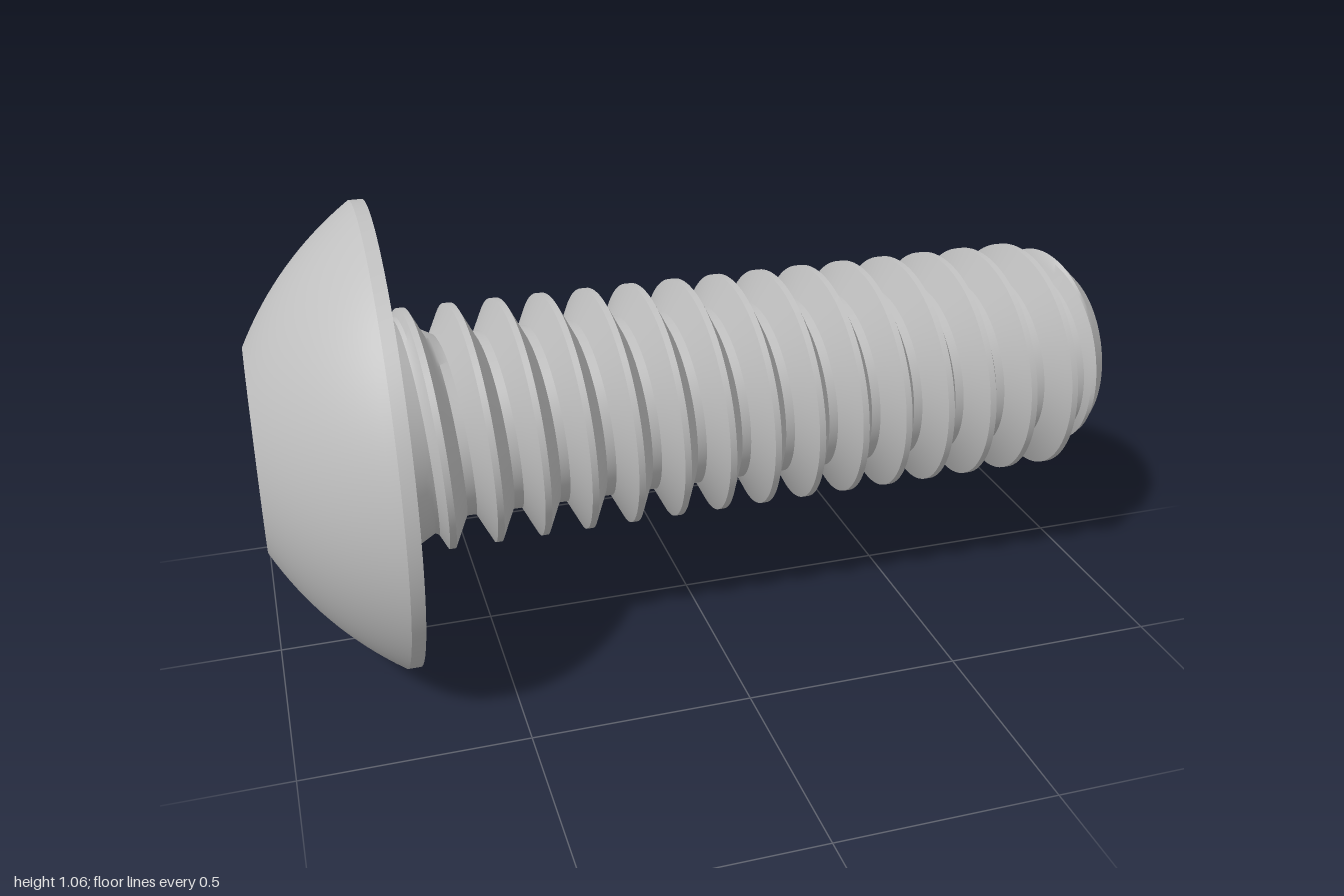
import * as THREE from 'three';
import { toCreasedNormals } from 'three/addons/utils/BufferGeometryUtils.js';

const AXIS_Y = 0.53;      // height of the screw axis
const HEAD_X = -1;        // face of the head
const SEAT_X = -0.705;    // underside of the head
const TIP_X = 1;
const MAJOR = 0.28, MINOR = 0.21, PITCH = 0.107, TIP_R = 0.2;
const HEX_APOTHEM = 0.16, HEX_CORNER = HEX_APOTHEM / Math.cos(Math.PI / 6);

// Surface wound around the x axis: f(angle, row) returns [x, radius]
function wound(segments, rows, f, crease) {
  const at = (i, j) => {
    const a = (i / segments) * Math.PI * 2;
    const [x, r] = f(a, j);
    const w = ((i % segments) / segments) * Math.PI * 2;
    return new THREE.Vector3(x, r * Math.cos(w), r * Math.sin(w));
  };
  const pos = [];
  const tri = (a, b, c) => {
    const area = b.clone().sub(a).cross(c.clone().sub(a)).length();
    if (area > 1e-8) pos.push(...a.toArray(), ...b.toArray(), ...c.toArray());
  };
  for (let j = 0; j < rows - 1; j++) {
    for (let i = 0; i < segments; i++) {
      const a = at(i, j), b = at(i + 1, j), c = at(i + 1, j + 1), d = at(i, j + 1);
      tri(a, b, d);
      tri(b, c, d);
    }
  }
  const g = new THREE.BufferGeometry();
  g.setAttribute('position', new THREE.Float32BufferAttribute(pos, 3));
  return toCreasedNormals(g, crease);
}

// Domed head with rim and flat underside
function headGeometry() {
  const dome = new THREE.QuadraticBezierCurve(
    new THREE.Vector2(0.23, HEAD_X), new THREE.Vector2(0.413, -0.905), new THREE.Vector2(0.53, -0.735));
  const profile = [
    new THREE.Vector2(HEX_CORNER, HEAD_X),
    ...dome.getPoints(16),
    new THREE.Vector2(0.53, SEAT_X),
    new THREE.Vector2(0.2, SEAT_X),
  ];
  const g = new THREE.LatheGeometry(profile, 96);
  g.rotateZ(-Math.PI / 2);
  return toCreasedNormals(g, 0.45);
}

// Hexagonal recess: floor, walls, then a countersink that scallops the walls
function socketGeometry() {
  const sector = Math.PI / 3;
  return wound(72, 4, (a, j) => {
    const hex = HEX_APOTHEM / Math.cos((a % sector) - sector / 2);
    return [
      [-0.83, 0],
      [-0.83, hex],
      [HEAD_X + (HEX_CORNER - hex) * 0.7, hex],
      [HEAD_X, HEX_CORNER],
    ][j];
  }, 0.4);
}

// Right-hand thread with a conical run-out under the head and a chamfered tip
function threadGeometry() {
  const crest = 0.07, root = 0.4;
  const steps = [];
  for (let k = 0; k <= 4; k++) steps.push(crest + ((root - crest) * k) / 4);
  const phases = [...steps, ...steps.map((s) => 1 - s).reverse()];
  const rows = [];
  for (let turn = -8; turn <= 10; turn++) for (const p of phases) rows.push(turn + p);

  const radius = (x, a) => {
    const t = x / PITCH - a / (Math.PI * 2);
    const u = Math.abs(t - Math.round(t));
    const k = THREE.MathUtils.clamp((u - crest) / (root - crest), 0, 1);
    const ridge = MAJOR + (MINOR - MAJOR) * k;
    const runOut = MAJOR - 0.55 * (x - SEAT_X);
    return Math.min(Math.max(ridge, runOut), TIP_R + (TIP_X - x));
  };
  return wound(96, rows.length, (a, j) => {
    const x = THREE.MathUtils.clamp((rows[j] + a / (Math.PI * 2)) * PITCH, SEAT_X, TIP_X);
    return [x, radius(x, a)];
  }, 0.5);
}

export function createModel() {
  const steel = new THREE.MeshStandardMaterial({ color: 0xc0c0c0 });
  steel.name = 'steel';

  const screw = new THREE.Group();
  screw.name = 'screw';
  const add = (name, geometry) => {
    const mesh = new THREE.Mesh(geometry, steel);
    mesh.name = name;
    mesh.position.y = AXIS_Y;
    screw.add(mesh);
    return mesh;
  };

  add('head', headGeometry());
  add('hexSocket', socketGeometry());
  add('threadedShank', threadGeometry());

  // Flat end of the shank
  const tip = add('tipFace', new THREE.CircleGeometry(TIP_R, 96).rotateY(Math.PI / 2));
  tip.position.x = TIP_X;

  return screw;
}
